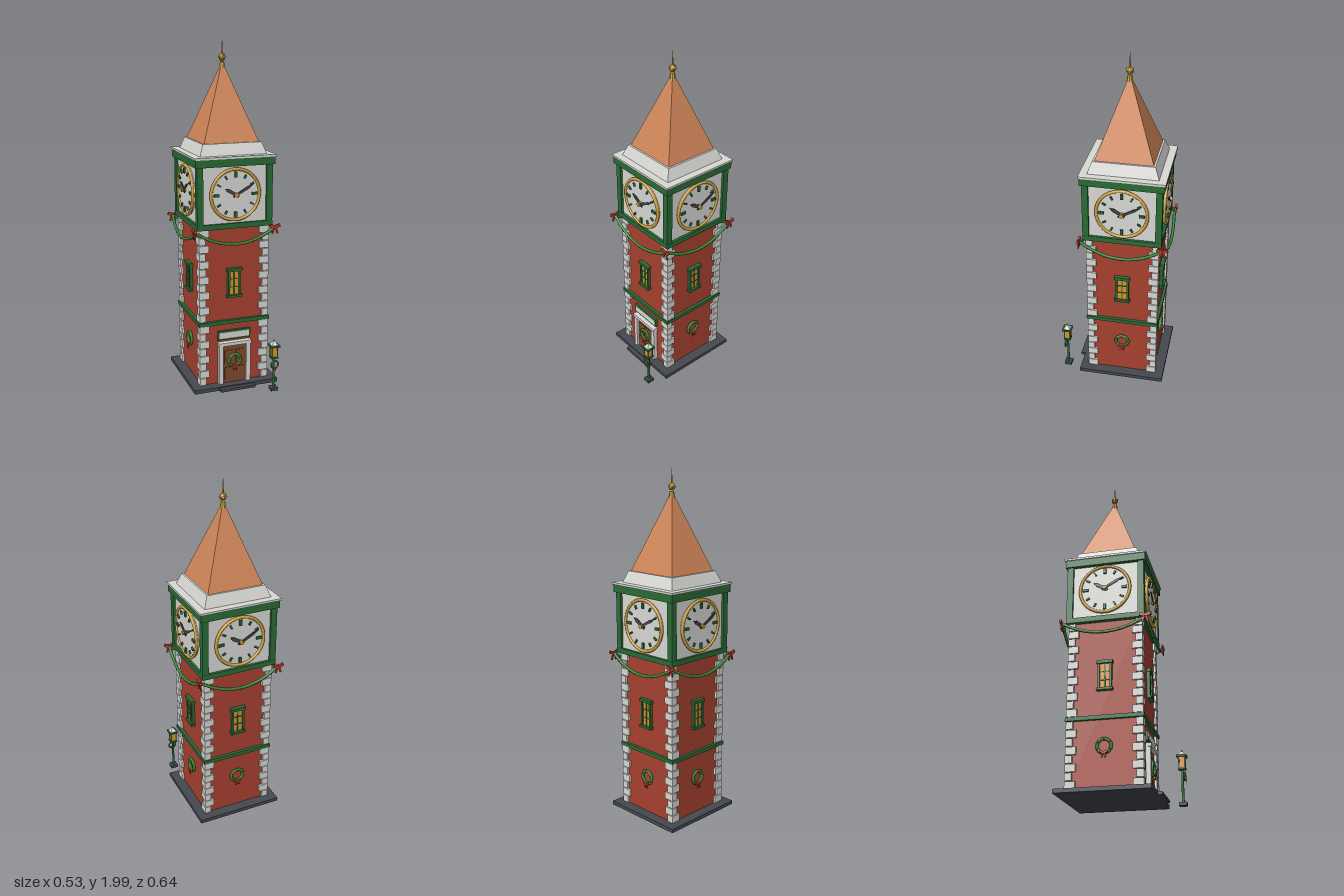
import * as THREE from 'three';

const mat = (name, color) => Object.assign(new THREE.MeshStandardMaterial({ color }), { name });

export function createModel() {
  const M = {
    brick: mat('brick red', 0xa8412f), stone: mat('pale stone', 0xd9dad6), green: mat('painted green', 0x2a6b36),
    leaf: mat('leaf green', 0x3c8a3c), copper: mat('copper roof', 0xd08659), gold: mat('gold', 0xd0a03a),
    slate: mat('dark slate', 0x45484f), amber: mat('amber glass', 0xe0922f), wood: mat('door wood', 0x7d4b2a),
    red: mat('ribbon red', 0xc23a2c),
  };
  const model = new THREE.Group();
  model.name = 'clockTower';
  const tower = new THREE.Group();
  tower.name = 'tower';
  tower.position.z = -0.057;
  model.add(tower);

  const add = (parent, name, geo, material, x = 0, y = 0, z = 0) => {
    const m = new THREE.Mesh(geo, material);
    m.name = name;
    m.position.set(x, y, z);
    parent.add(m);
    return m;
  };
  const box = (parent, name, w, h, d, material, x, y, z) =>
    add(parent, name, new THREE.BoxGeometry(w, h, d), material, x, y, z);
  const group = (parent, name, x = 0, y = 0, z = 0) => {
    const g = new THREE.Group();
    g.name = name;
    g.position.set(x, y, z);
    parent.add(g);
    return g;
  };
  const flat = (geo) => {
    const g = geo.index ? geo.toNonIndexed() : geo;
    g.computeVertexNormals();
    return g;
  };
  // Square frustum given half widths
  const frustum = (top, bottom, h) =>
    flat(new THREE.CylinderGeometry(top * Math.SQRT2, bottom * Math.SQRT2, h, 4).rotateY(Math.PI / 4));

  // Ribbon bow: two loops, knot and two tails, facing +z
  const bow = (parent, s, x, y, z) => {
    const g = group(parent, 'bow', x, y, z);
    g.scale.setScalar(s);
    for (const side of [-1, 1]) {
      box(g, 'bowLoop', 0.026, 0.017, 0.011, M.red, side * 0.017, 0.005, 0).rotation.z = side * 0.35;
      box(g, 'bowTail', 0.01, 0.036, 0.006, M.red, side * 0.01, -0.02, 0).rotation.z = side * 0.3;
    }
    box(g, 'bowKnot', 0.012, 0.014, 0.015, M.red, 0, 0, 0);
  };
  const wreath = (parent, r, x, y, z) => {
    const g = group(parent, 'wreath', x, y, z);
    add(g, 'wreathRing', new THREE.TorusGeometry(r, r * 0.24, 6, 18), M.leaf);
    for (let i = 0; i < 6; i++) {
      const a = (i * Math.PI) / 3 + Math.PI / 6;
      add(g, 'berry', new THREE.IcosahedronGeometry(r * 0.1, 0), M.red, Math.cos(a) * r, Math.sin(a) * r, r * 0.22);
    }
    bow(g, r * 18, 0, -r, r * 0.3);
  };

  // Plinth, shaft and mouldings
  box(tower, 'plinth', 0.514, 0.022, 0.514, M.slate, 0, 0.017, 0);
  box(tower, 'doorStep', 0.214, 0.016, 0.06, M.slate, 0, 0.014, 0.254);
  box(tower, 'brickShaft', 0.394, 0.95, 0.394, M.brick, 0, 0.5, 0);
  box(tower, 'middleBand', 0.43, 0.022, 0.43, M.green, 0, 0.406, 0);
  box(tower, 'lowerCornice', 0.45, 0.03, 0.45, M.green, 0, 0.981, 0);
  box(tower, 'clockRoom', 0.42, 0.34, 0.42, M.stone, 0, 1.16, 0);
  box(tower, 'upperCornice', 0.468, 0.044, 0.468, M.green, 0, 1.342, 0);
  box(tower, 'roofSlab', 0.48, 0.012, 0.48, M.stone, 0, 1.37, 0);

  // Corner stones with alternating long and short sides, and clock room posts
  for (const sx of [-1, 1]) for (const sz of [-1, 1]) {
    const corner = group(tower, 'cornerStones');
    for (let i = 0; i < 20; i++) {
      const y = i < 8 ? 0.052 + i * 0.0457 : 0.441 + (i - 8) * 0.0457;
      const w = i % 2 ? 0.058 : 0.038, d = i % 2 ? 0.038 : 0.058;
      box(corner, 'cornerStone', w, 0.041, d, M.stone, sx * (0.21 - w / 2), y, sz * (0.21 - d / 2));
    }
    box(tower, 'cornerPost', 0.036, 0.33, 0.036, M.green, sx * 0.206, 1.16, sz * 0.206);
  }

  // Roof and finial
  add(tower, 'roofSkirt', frustum(0.173, 0.198, 0.066), M.stone, 0, 1.408, 0);
  add(tower, 'spire', frustum(0.003, 0.163, 0.435), M.copper, 0, 1.657, 0);
  add(tower, 'finialCollar', flat(new THREE.CylinderGeometry(0.012, 0.018, 0.036, 8)), M.gold, 0, 1.862, 0);
  add(tower, 'finialBall', flat(new THREE.IcosahedronGeometry(0.023, 0)), M.gold, 0, 1.905, 0);
  add(tower, 'finialSpike', new THREE.CylinderGeometry(0.001, 0.005, 0.085, 6), M.gold, 0, 1.9575, 0);

  // Clock dial with ring, hour marks, hands and hub
  const clock = (parent) => {
    const g = group(parent, 'clock', 0, 1.16, 0.21);
    add(g, 'dial', new THREE.CylinderGeometry(0.145, 0.145, 0.016, 40).rotateX(Math.PI / 2), M.stone, 0, 0, 0.006);
    add(g, 'dialRing', new THREE.TorusGeometry(0.144, 0.009, 8, 40), M.gold, 0, 0, 0.014);
    for (let i = 0; i < 12; i++) {
      const a = (i * Math.PI) / 6, big = i % 3 === 0;
      box(g, 'hourMark', big ? 0.015 : 0.009, big ? 0.032 : 0.022, 0.01, M.green,
        Math.sin(a) * 0.113, Math.cos(a) * 0.113, 0.018).rotation.z = -a;
    }
    for (const [name, a, len, w, z] of [['hourHand', -1.04, 0.075, 0.015, 0.021], ['minuteHand', 1.07, 0.118, 0.011, 0.027]]) {
      const hand = group(g, name, 0, 0, z);
      hand.rotation.z = -a;
      const s = new THREE.Shape([[-w / 2, -0.02], [w / 2, -0.02], [w * 0.7, len * 0.7], [0, len], [-w * 0.7, len * 0.7]]
        .map(([x, y]) => new THREE.Vector2(x, y)));
      add(hand, 'handBlade', new THREE.ExtrudeGeometry(s, { depth: 0.005, bevelEnabled: false }), M.slate);
    }
    add(g, 'clockHub', new THREE.CylinderGeometry(0.012, 0.012, 0.03, 10).rotateX(Math.PI / 2), M.gold, 0, 0, 0.024);
  };

  // Window with lintel, sill and glazing bars
  const windowUnit = (parent) => {
    const g = group(parent, 'window', 0, 0.64, 0.197);
    box(g, 'glass', 0.06, 0.14, 0.012, M.amber, 0, 0, 0.004);
    for (const s of [-1, 1]) {
      box(g, 'windowJamb', 0.012, 0.15, 0.02, M.green, s * 0.033, 0, 0.008);
      box(g, 'glazingBar', 0.056, 0.005, 0.016, M.green, 0, s * 0.024, 0.006);
    }
    box(g, 'glazingBar', 0.007, 0.14, 0.016, M.green, 0, 0, 0.006);
    box(g, 'lintel', 0.09, 0.018, 0.028, M.green, 0, 0.079, 0.01);
    box(g, 'sill', 0.09, 0.014, 0.03, M.green, 0, -0.077, 0.011);
  };

  // Sagging garland with berries and a bow at one end
  const curve = new THREE.CatmullRomCurve3(Array.from({ length: 9 }, (_, i) => {
    const t = i / 4 - 1;
    return new THREE.Vector3(t * 0.236, 0.882 + 0.075 * t * t, 0.25 - 0.014 * t * t);
  }));
  const garland = (parent) => {
    const g = group(parent, 'garland');
    add(g, 'garlandRope', new THREE.TubeGeometry(curve, 24, 0.009, 6), M.leaf);
    for (let i = 1; i < 10; i++) {
      const p = curve.getPoint(i / 10);
      add(g, 'berry', new THREE.IcosahedronGeometry(0.005, 0), i % 2 ? M.red : M.gold, p.x, p.y - 0.007, p.z + 0.004);
    }
    bow(g, 1.05, 0.233, 0.96, 0.245);
  };

  // The four walls
  ['front', 'left', 'back', 'right'].forEach((name, i) => {
    const wall = group(tower, name + 'Wall');
    wall.rotation.y = (i * Math.PI) / 2;
    clock(wall);
    windowUnit(wall);
    garland(wall);
    if (i) wreath(wall, 0.038, 0, 0.25, 0.207);
  });

  // Door with surround, panels, sign board and wreath
  const door = group(tower, 'entrance', 0, 0, 0.197);
  box(door, 'doorLeaf', 0.15, 0.235, 0.014, M.wood, 0, 0.145, 0.005);
  for (const s of [-1, 1]) {
    box(door, 'doorPillar', 0.026, 0.245, 0.03, M.stone, s * 0.084, 0.15, 0.012);
    for (const y of [0.085, 0.19]) box(door, 'doorPanel', 0.05, 0.08, 0.006, M.wood, s * 0.034, y, 0.013);
  }
  box(door, 'doorLintel', 0.2, 0.02, 0.036, M.stone, 0, 0.274, 0.014);
  box(door, 'doorKnob', 0.008, 0.012, 0.012, M.gold, 0.058, 0.135, 0.016);
  box(door, 'signFrame', 0.2, 0.054, 0.016, M.green, 0, 0.326, 0.006);
  box(door, 'signBoard', 0.182, 0.036, 0.006, M.stone, 0, 0.326, 0.014);
  wreath(door, 0.036, 0, 0.168, 0.022);

  // Street lamp
  const lamp = group(model, 'streetLamp', 0.195, 0, 0.287);
  box(lamp, 'lampBase', 0.044, 0.018, 0.044, M.slate, 0, 0.015, 0);
  add(lamp, 'lampPole', new THREE.CylinderGeometry(0.006, 0.008, 0.19, 8), M.green, 0, 0.115, 0);
  box(lamp, 'lanternFloor', 0.042, 0.01, 0.042, M.green, 0, 0.21, 0);
  box(lamp, 'lanternGlass', 0.032, 0.065, 0.032, M.amber, 0, 0.245, 0);
  for (const sx of [-1, 1]) for (const sz of [-1, 1])
    box(lamp, 'lanternPost', 0.006, 0.066, 0.006, M.green, sx * 0.016, 0.245, sz * 0.016);
  box(lamp, 'lanternCap', 0.056, 0.01, 0.056, M.green, 0, 0.281, 0);
  add(lamp, 'lanternRoof', frustum(0.004, 0.021, 0.024), M.stone, 0, 0.297, 0);
  add(lamp, 'lanternFinial', flat(new THREE.IcosahedronGeometry(0.006, 0)), M.gold, 0, 0.312, 0);
  wreath(lamp, 0.022, 0, 0.168, 0.013);

  return model;
}
